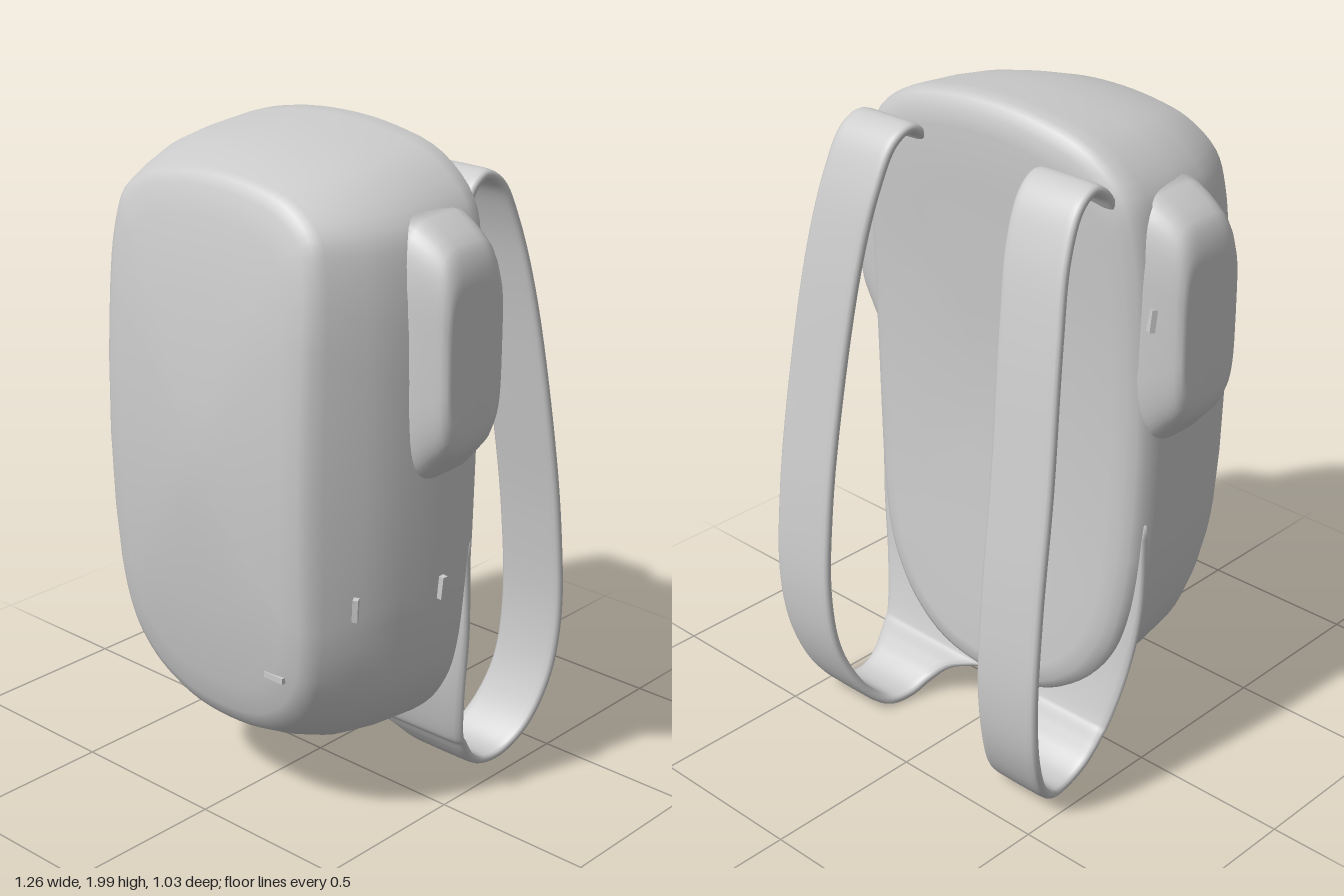
import * as THREE from 'three';

const material = new THREE.MeshStandardMaterial({ color: 0xcccccc, roughness: 0.8 });

// Skin a list of closed rings (counter-clockwise seen from the first end) and cap both ends.
function loft(rings) {
  const n = rings[0].length;
  const pos = [], index = [];
  rings.forEach((r) => r.forEach((p) => pos.push(p.x, p.y, p.z)));
  for (let i = 0; i < rings.length - 1; i++) {
    for (let j = 0; j < n; j++) {
      const a = i * n + j, b = i * n + ((j + 1) % n);
      index.push(a, a + n, b, b, a + n, b + n);
    }
  }
  [0, rings.length - 1].forEach((i, end) => {
    const centre = new THREE.Vector3();
    rings[i].forEach((p) => centre.addScaledVector(p, 1 / n));
    const c = pos.length / 3;
    pos.push(centre.x, centre.y, centre.z);
    for (let j = 0; j < n; j++) {
      const a = i * n + j, b = i * n + ((j + 1) % n);
      if (end === 0) index.push(c, a, b);
      else index.push(c, b, a);
    }
  });
  const g = new THREE.BufferGeometry();
  g.setAttribute('position', new THREE.Float32BufferAttribute(pos, 3));
  g.setIndex(index);
  g.computeVertexNormals();
  return g;
}

function part(name, geometry) {
  const mesh = new THREE.Mesh(geometry, material);
  mesh.name = name;
  return mesh;
}

// Right half of the bag outline: width ratio, drop from the top / rise from the bottom.
const TOP = [[1, 0.6], [0.97, 0.3], [0.9, 0.165], [0.67, 0.06], [0.36, 0.015]];
const BOTTOM = [[0.38, 0.03], [0.66, 0.125], [0.83, 0.25], [0.91, 0.37], [0.97, 0.6]];

function bagRing([hx, yb, yt, z, bow, k]) {
  const right = [
    ...BOTTOM.map(([u, d]) => [u * hx, yb + d * k]),
    ...TOP.map(([u, d]) => [u * hx, yt - d * k]),
  ];
  const left = right.map(([x, y]) => [-x, y]).reverse();
  const pts = [[0, yb], ...right, [0, yt], ...left].map(([x, y]) => new THREE.Vector3(x, y, 0));
  const curve = new THREE.CatmullRomCurve3(pts, true);
  return Array.from({ length: 88 }, (_, i) => {
    const p = curve.getPoint(i / 88);
    p.z = z - bow * ((p.y - 1.1) / 0.85) ** 2;
    return p;
  });
}

function makeBody() {
  // half width, bottom, top, z, bow along the height, corner size
  const rings = [
    [0.06, 0.95, 1.3, 0.516, 0.08, 0.12],
    [0.2, 0.65, 1.6, 0.512, 0.08, 0.35],
    [0.31, 0.42, 1.8, 0.502, 0.08, 0.5],
    [0.365, 0.33, 1.875, 0.487, 0.075, 0.6],
    [0.392, 0.295, 1.905, 0.467, 0.065, 0.66],
    [0.415, 0.27, 1.918, 0.435, 0.05, 0.7],
    [0.475, 0.22, 1.945, 0.335, 0.035, 0.85],
    [0.525, 0.182, 1.968, 0.225, 0.02, 0.95],
    [0.543, 0.158, 1.985, 0.1, 0.015, 1],
    [0.547, 0.145, 1.995, -0.02, 0.03, 1],
    [0.535, 0.142, 1.998, -0.06, 0.04, 1],
    [0.515, 0.152, 1.987, -0.08, 0.042, 0.97],
    [0.485, 0.18, 1.955, -0.096, 0.045, 0.92],
    [0.44, 0.23, 1.905, -0.105, 0.05, 0.85],
    [0.3, 0.45, 1.75, -0.11, 0.05, 0.6],
    [0.1, 0.85, 1.35, -0.111, 0.05, 0.2],
  ];
  return part('body', loft(rings.map(bagRing)));
}

// Padded pocket, lofted outwards from the side panel and sloping into it.
function makePocket(side) {
  // half depth, bottom, top, distance from the centre plane, middle z
  const rings = [
    [0.1, 1.26, 1.66, 0.632, 0.073], [0.115, 1.22, 1.7, 0.628, 0.073],
    [0.124, 1.185, 1.74, 0.612, 0.073], [0.13, 1.165, 1.765, 0.595, 0.072],
    [0.139, 1.135, 1.785, 0.568, 0.071], [0.148, 1.1, 1.805, 0.538, 0.07],
    [0.157, 1.07, 1.825, 0.5, 0.068], [0.164, 1.05, 1.85, 0.44, 0.064],
  ].map(([w, yb, yt, d, z]) => Array.from({ length: 48 }, (_, i) => {
    const a = (i / 48) * Math.PI * 2, c = Math.cos(a), s = Math.sin(a);
    const round = (v) => Math.sign(v) * Math.abs(v) ** 0.5;
    return new THREE.Vector3(
      w * round(c) - side * z, (yb + yt) / 2 + ((yt - yb) / 2) * round(s), d);
  }));
  const pocket = part(side > 0 ? 'leftPocket' : 'rightPocket', loft(rings));
  pocket.rotation.y = (side * Math.PI) / 2;
  return pocket;
}

// Strap stations from the top anchor round to the flared lower anchor: y, z, inner x, outer x.
const STRAP = [
  [1.8, -0.11, 0.23, 0.45], [1.85, -0.145, 0.23, 0.45], [1.872, -0.19, 0.23, 0.45],
  [1.84, -0.25, 0.235, 0.455], [1.72, -0.31, 0.245, 0.465], [1.5, -0.365, 0.27, 0.49],
  [1.1, -0.43, 0.3, 0.52], [0.75, -0.48, 0.31, 0.53], [0.45, -0.5, 0.31, 0.53],
  [0.25, -0.475, 0.3, 0.515], [0.1, -0.41, 0.265, 0.485], [0.03, -0.335, 0.235, 0.455],
  [0.027, -0.26, 0.22, 0.445], [0.06, -0.2, 0.2, 0.45], [0.105, -0.162, 0.155, 0.458],
  [0.142, -0.138, 0.07, 0.464], [0.165, -0.122, 0, 0.468], [0.33, -0.08, 0.05, 0.5],
  [0.56, -0.055, 0.3, 0.53], [0.85, -0.045, 0.42, 0.53],
];

function makeStrap(side) {
  const edge = (k) => new THREE.CatmullRomCurve3(
    STRAP.map((s) => new THREE.Vector3(side * s[k], s[0], s[1])));
  const inner = edge(2), outer = edge(3);
  const steps = 120;
  const rings = Array.from({ length: steps + 1 }, (_, i) => {
    const t = i / steps;
    const a = inner.getPoint(t), b = outer.getPoint(t);
    const across = b.clone().sub(a).multiplyScalar(0.5);
    const mid = a.clone().add(b).multiplyScalar(0.5);
    const along = inner.getTangent(t).add(outer.getTangent(t));
    along.x = 0;
    const normal = new THREE.Vector3(side, 0, 0).cross(along.normalize());
    // flat band with rounded edges
    return Array.from({ length: 16 }, (_, j) => {
      const q = (j / 16) * Math.PI * 2, c = Math.cos(q), s = Math.sin(q);
      return mid.clone()
        .addScaledVector(across, Math.sign(c) * Math.abs(c) ** 0.3)
        .addScaledVector(normal, 0.016 * Math.sign(s) * Math.abs(s) ** 0.6);
    });
  });
  return part(side > 0 ? 'leftStrap' : 'rightStrap', loft(rings));
}

// Small fabric loops sewn on the shell.
function makeTag(name, size, position, rotation) {
  const tag = part(name, new THREE.BoxGeometry(...size));
  tag.position.set(...position);
  tag.rotation.set(...rotation);
  return tag;
}

export function createModel() {
  const model = new THREE.Group();
  model.name = 'backpack';
  model.add(makeBody());
  for (const side of [1, -1]) {
    model.add(makePocket(side), makeStrap(side));
    model.add(makeTag('backTag', [0.025, 0.065, 0.016],
      [side * 0.55, 1.5, -0.075], [0.15, side * 0.5, 0]));
  }
  model.add(
    makeTag('frontTag', [0.07, 0.018, 0.02], [0.255, 0.52, 0.46], [0, 0, 0]),
    makeTag('sideTag', [0.016, 0.07, 0.018], [0.465, 0.76, 0.36], [0.1, 0.5, -0.1]),
    makeTag('sideTag', [0.016, 0.07, 0.018], [0.543, 0.76, 0.085], [0, 0, -0.1]),
  );
  return model;
}
